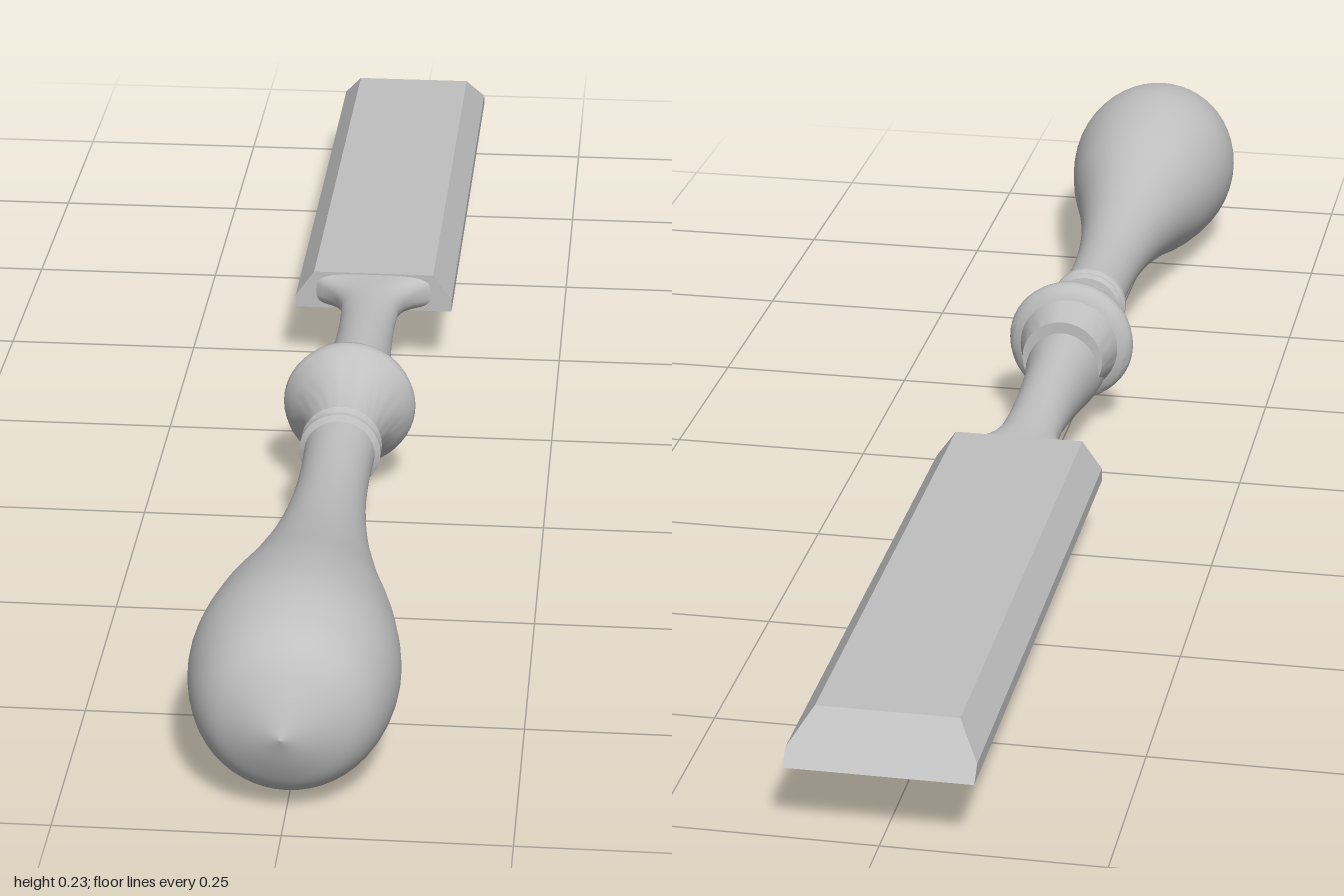
import * as THREE from 'three';
import { toCreasedNormals } from 'three/addons/utils/BufferGeometryUtils.js';

const AXIS = 0.117; // height of the tool's centre line

const steel = new THREE.MeshStandardMaterial({ color: 0xc0c0c0 });
steel.name = 'light grey';

function add(group, name, geometry) {
  const mesh = new THREE.Mesh(geometry, steel);
  mesh.name = name;
  group.add(mesh);
}

// Lathe along z from [radius, z] pairs listed with rising z
function turned(points, sides = 48) {
  const g = new THREE.LatheGeometry(points, sides);
  g.rotateX(Math.PI / 2);
  g.translate(0, AXIS, 0);
  return g;
}
const toPoints = list => list.map(([r, z]) => new THREE.Vector2(r, z));

// Loft of rounded sections: [z, half width, bottom, top, squareness exponent]
function loft(sections, sides = 40) {
  const pos = [], index = [];
  const soften = (v, e) => Math.sign(v) * Math.pow(Math.abs(v), e);
  sections.forEach(([z, w, y0, y1, e], i) => {
    for (let j = 0; j < sides; j++) {
      const a = (j / sides) * Math.PI * 2;
      pos.push(w * soften(Math.cos(a), e),
        (y0 + y1) / 2 + (y1 - y0) / 2 * soften(Math.sin(a), e), z);
      if (i === sections.length - 1) continue;
      const p = i * sides + j, q = i * sides + (j + 1) % sides;
      index.push(p, p + sides, q, q, p + sides, q + sides);
    }
  });
  const g = new THREE.BufferGeometry();
  g.setAttribute('position', new THREE.Float32BufferAttribute(pos, 3));
  g.setIndex(index);
  g.computeVertexNormals();
  return g;
}

// Bevel-edged blade: extruded section whose far end is sheared to a cutting edge
function bladeGeometry() {
  const back = -0.21, y0 = 0.085, y1 = 0.137, ym = 0.102;
  const s = new THREE.Shape(toPoints([
    [-0.105, y0], [0.105, y0], [0.105, ym], [0.08, y1], [-0.08, y1], [-0.105, ym],
  ]));
  let g = new THREE.ExtrudeGeometry(s, { depth: 0.79, bevelEnabled: false });
  g.translate(0, 0, -1);
  const p = g.attributes.position;
  for (let i = 0; i < p.count; i++) {
    if (p.getZ(i) < back - 0.1) p.setZ(i, -1 + 0.05 * (p.getY(i) - y0) / (y1 - y0));
  }
  g = g.index ? g.toNonIndexed() : g;
  g.computeVertexNormals();
  return g;
}

export function createModel() {
  const model = new THREE.Group();
  model.name = 'chisel';

  // Pear-shaped handle
  const curve = new THREE.SplineCurve(toPoints([
    [0.044, 0.28], [0.042, 0.36], [0.045, 0.45], [0.057, 0.55], [0.078, 0.65],
    [0.104, 0.75], [0.117, 0.84], [0.108, 0.91], [0.085, 0.955], [0.045, 0.982], [0, 1],
  ]));
  add(model, 'handle', turned(curve.getPoints(60)));

  // Small ring at the neck of the handle
  add(model, 'neckRing', toCreasedNormals(turned(toPoints([
    [0.036, 0.264], [0.046, 0.266], [0.05, 0.272], [0.046, 0.279],
    [0.046, 0.284], [0.05, 0.288], [0.05, 0.295], [0.043, 0.3],
  ])), 0.7));

  // Flared bolster with its widest band in the middle
  add(model, 'bolster', toCreasedNormals(turned(toPoints([
    [0, 0.088], [0.053, 0.088], [0.058, 0.11], [0.065, 0.137], [0.075, 0.141],
    [0.081, 0.148], [0.083, 0.156], [0.081, 0.164], [0.07, 0.178], [0.06, 0.195],
    [0.051, 0.215], [0.044, 0.24], [0.04, 0.27],
  ])), 0.6));

  // Tapering shank that spreads into the blade's shoulders
  add(model, 'shank', loft([
    [0.13, 0.052, 0.038, 0.158, 1], [0.09, 0.049, 0.041, 0.155, 1],
    [0.03, 0.041, 0.051, 0.149, 1], [-0.04, 0.037, 0.065, 0.143, 1],
    [-0.1, 0.036, 0.077, 0.138, 1], [-0.15, 0.038, 0.084, 0.136, 0.95],
    [-0.175, 0.045, 0.0855, 0.1355, 0.85], [-0.192, 0.056, 0.086, 0.135, 0.75],
    [-0.203, 0.068, 0.086, 0.135, 0.65], [-0.212, 0.08, 0.086, 0.135, 0.55],
  ]));

  add(model, 'blade', bladeGeometry());
  return model;
}
